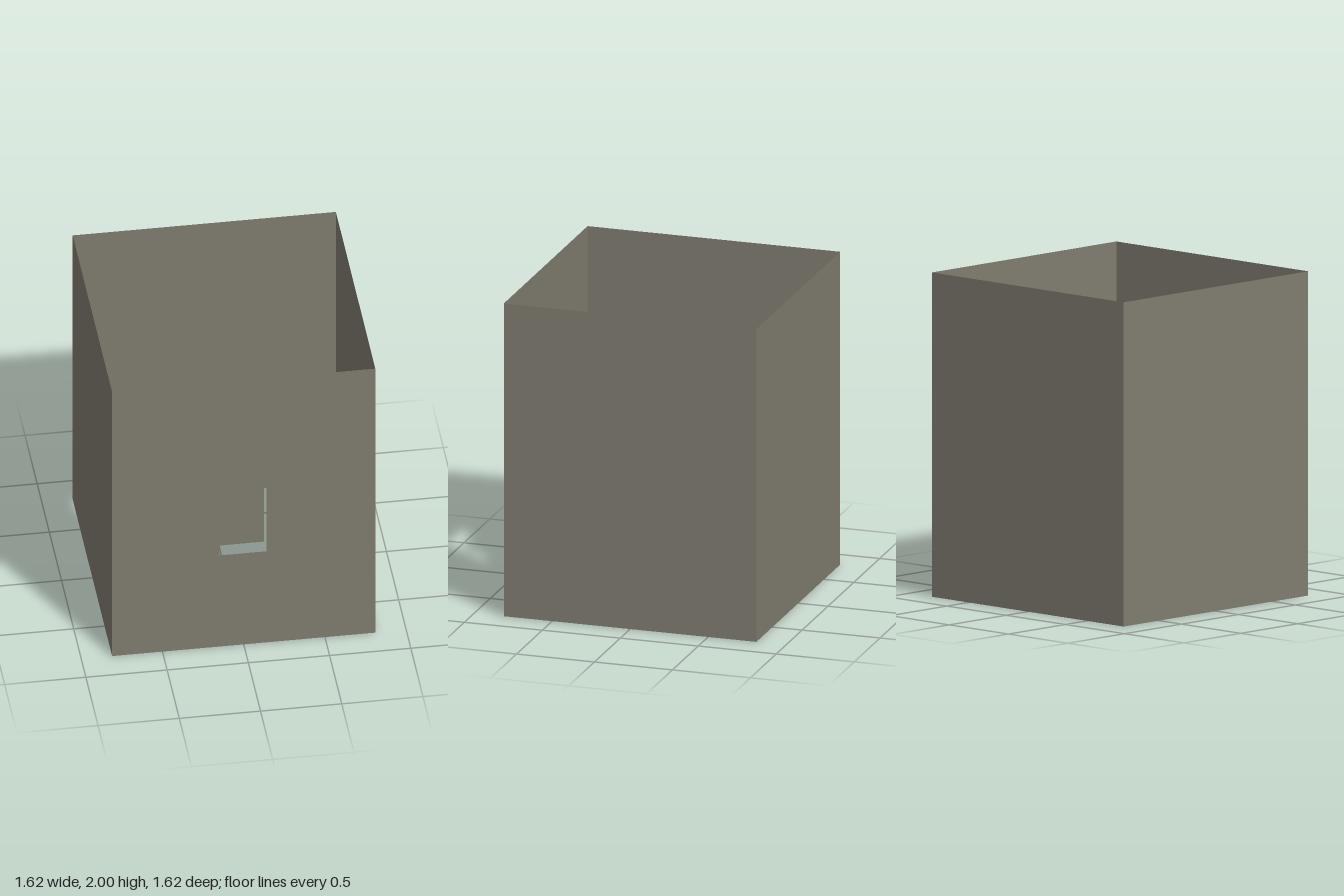
import * as THREE from 'three';

const W = 1.62, H = 2, HALF = W / 2;
const WIN = { x0: -0.15, x1: 0.14, y0: 0.69, y1: 1.17, depth: 0.1 };

// Counter-clockwise corners of a rectangle
const corners = (x0, y0, x1, y1) =>
  [[x0, y0], [x1, y0], [x1, y1], [x0, y1]].map(([x, y]) => new THREE.Vector2(x, y));

export function createModel() {
  const model = new THREE.Group();
  const wallPaint = new THREE.MeshStandardMaterial({ color: 0x807c70, side: THREE.DoubleSide });
  wallPaint.name = 'warm grey';

  const add = (name, geometry, x, y, z, turn = 0) => {
    const mesh = new THREE.Mesh(geometry, wallPaint);
    mesh.name = name;
    mesh.position.set(x, y, z);
    mesh.rotation.y = turn;
    model.add(mesh);
  };

  // Front wall with a window opening
  const front = new THREE.Shape(corners(-HALF, 0, HALF, H));
  front.holes.push(new THREE.Path(corners(WIN.x0, WIN.y0, WIN.x1, WIN.y1).reverse()));
  add('frontWall', new THREE.ShapeGeometry(front), 0, 0, HALF);

  // Plain walls; top and bottom stay open
  const wall = new THREE.PlaneGeometry(W, H);
  add('leftWall', wall, HALF, H / 2, 0, Math.PI / 2);
  add('backWall', wall, 0, H / 2, -HALF, Math.PI);
  add('rightWall', wall, -HALF, H / 2, 0, -Math.PI / 2);

  // Pane set back behind the opening
  add('windowPane', new THREE.PlaneGeometry(WIN.x1 - WIN.x0, WIN.y1 - WIN.y0),
    (WIN.x0 + WIN.x1) / 2, (WIN.y0 + WIN.y1) / 2, HALF - WIN.depth);

  return model;
}
